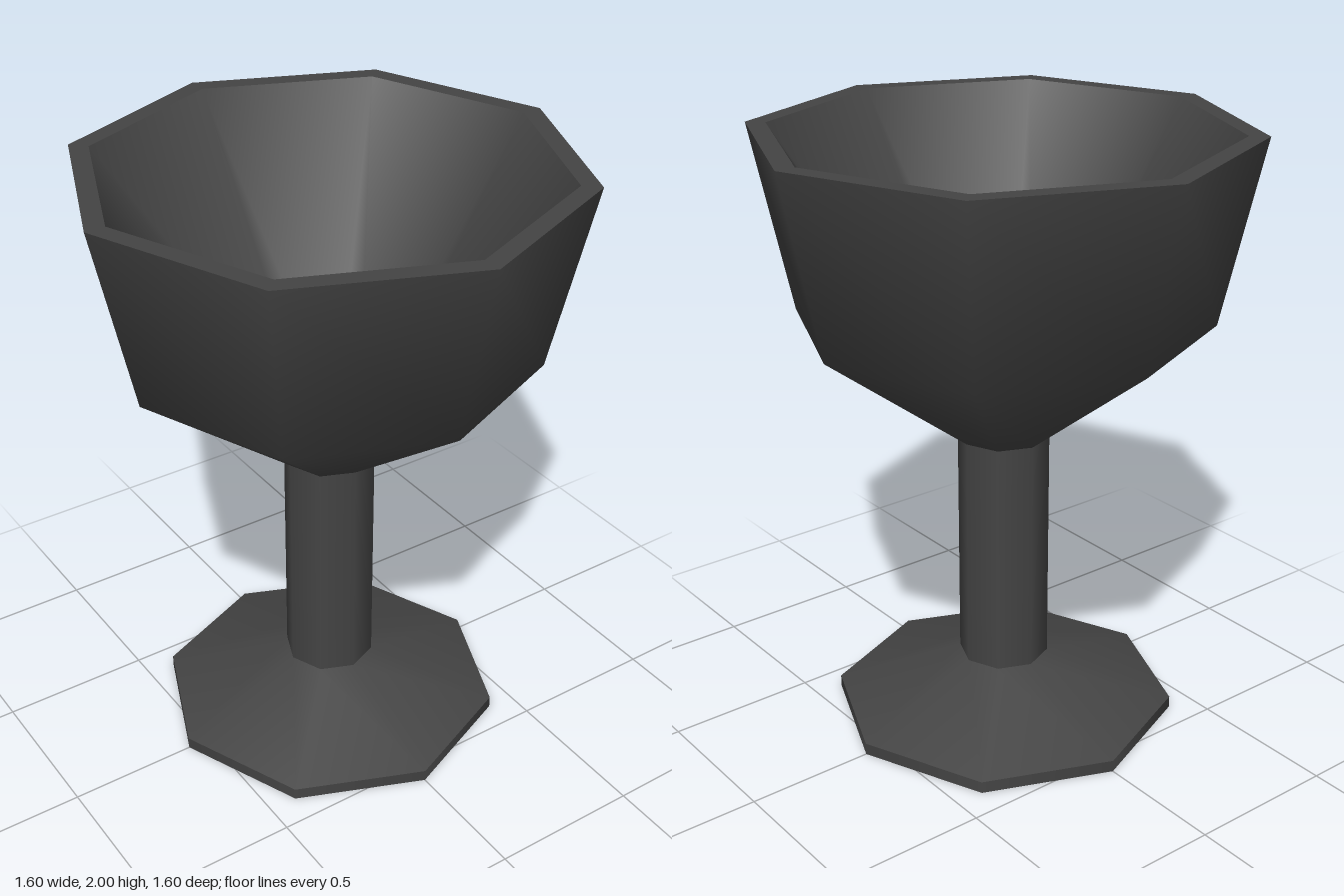
import * as THREE from 'three';

export function createModel() {
  const goblet = new THREE.Group();
  goblet.name = 'goblet';
  const darkMetal = new THREE.MeshStandardMaterial({ color: 0x444444 });
  darkMetal.name = 'darkMetal';

  // Each part is an eight-sided lathe; separate parts keep the edges between them sharp.
  const turn = (name, profile) => {
    const points = profile.map(([r, y]) => new THREE.Vector2(r, y));
    const mesh = new THREE.Mesh(new THREE.LatheGeometry(points, 8), darkMetal);
    mesh.name = name;
    goblet.add(mesh);
  };

  // Foot
  turn('footUnderside', [[0, 0], [0.575, 0]]);
  turn('footEdge', [[0.575, 0], [0.575, 0.04]]);
  turn('footSlope', [[0.575, 0.04], [0.15, 0.2]]);

  // Stem
  turn('stem', [[0.15, 0.2], [0.15, 1]]);

  // Cup: shouldered outside, plain funnel inside
  turn('cupOutside', [[0.15, 1], [0.67, 1.4], [0.8, 2]]);
  turn('cupRim', [[0.8, 2], [0.735, 2]]);
  turn('cupInside', [[0.735, 2], [0.12, 1.1], [0, 1.1]]);

  return goblet;
}
